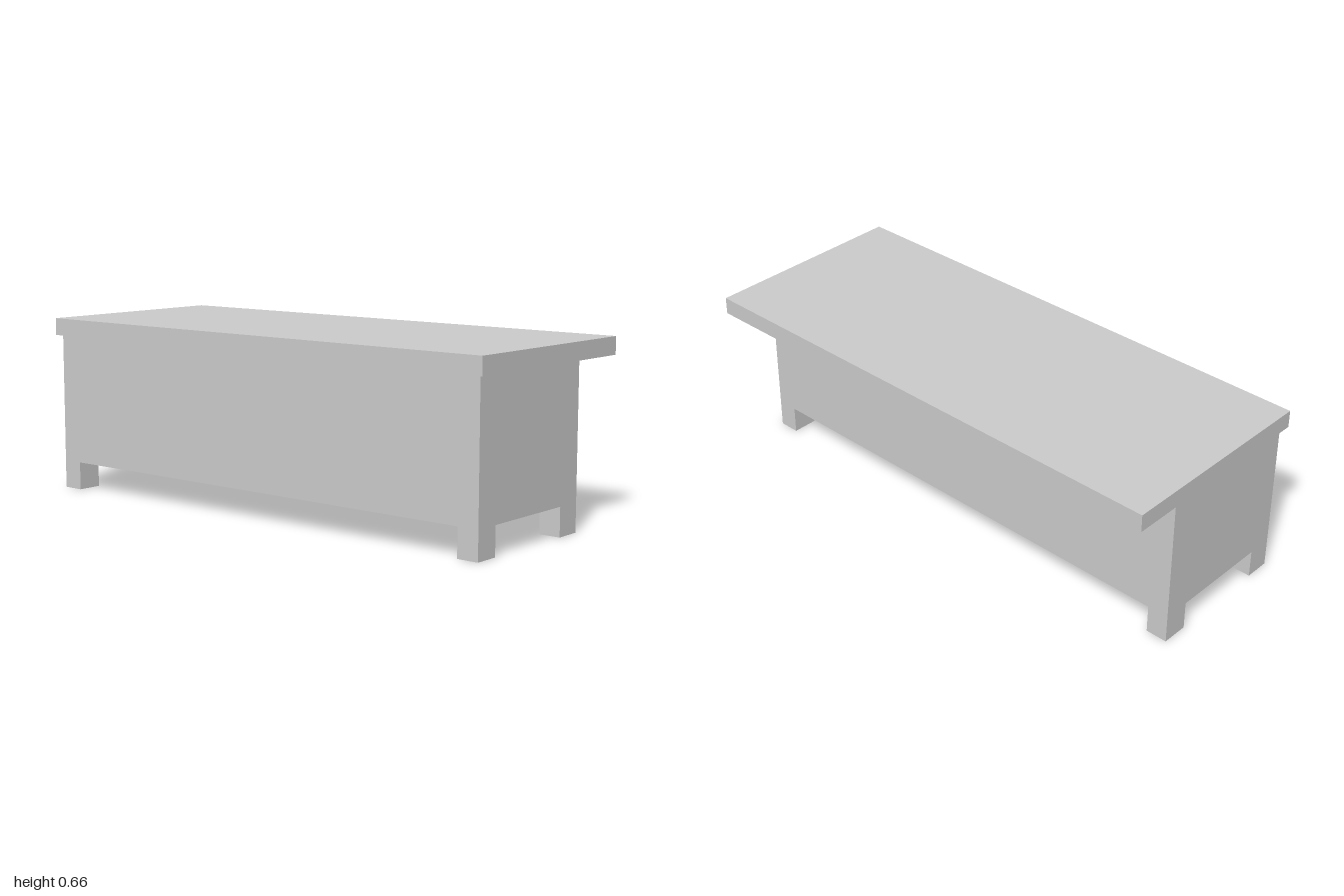
import * as THREE from 'three';

export function createModel() {
  const group = new THREE.Group();
  const material = new THREE.MeshStandardMaterial({ color: 0xcccccc, flatShading: true });

  // Box given by its lower and upper corners
  function addBox(name, [x0, y0, z0], [x1, y1, z1]) {
    const mesh = new THREE.Mesh(new THREE.BoxGeometry(x1 - x0, y1 - y0, z1 - z0), material);
    mesh.name = name;
    mesh.position.set((x0 + x1) / 2, (y0 + y1) / 2, (z0 + z1) / 2);
    group.add(mesh);
  }

  const legTop = 0.106, bodyTop = 0.596, topHeight = 0.661;
  const bodyX = [-0.385, 0.192], bodyZ = [-0.977, 0.983];

  // Counter slab, overhanging the body on the +x side
  addBox('counterTop', [-0.4, bodyTop, -1], [0.4, topHeight, 1]);

  // Closed cabinet body
  addBox('body', [bodyX[0], legTop, bodyZ[0]], [bodyX[1], bodyTop, bodyZ[1]]);

  // Four feet, flush with the body corners
  for (const [sideX, x0, x1] of [['Right', bodyX[0], -0.29], ['Left', 0.092, bodyX[1]]]) {
    for (const [sideZ, z0, z1] of [['back', bodyZ[0], -0.895], ['front', 0.902, bodyZ[1]]]) {
      addBox(`${sideZ}${sideX}Foot`, [x0, 0, z0], [x1, legTop, z1]);
    }
  }
  return group;
}
